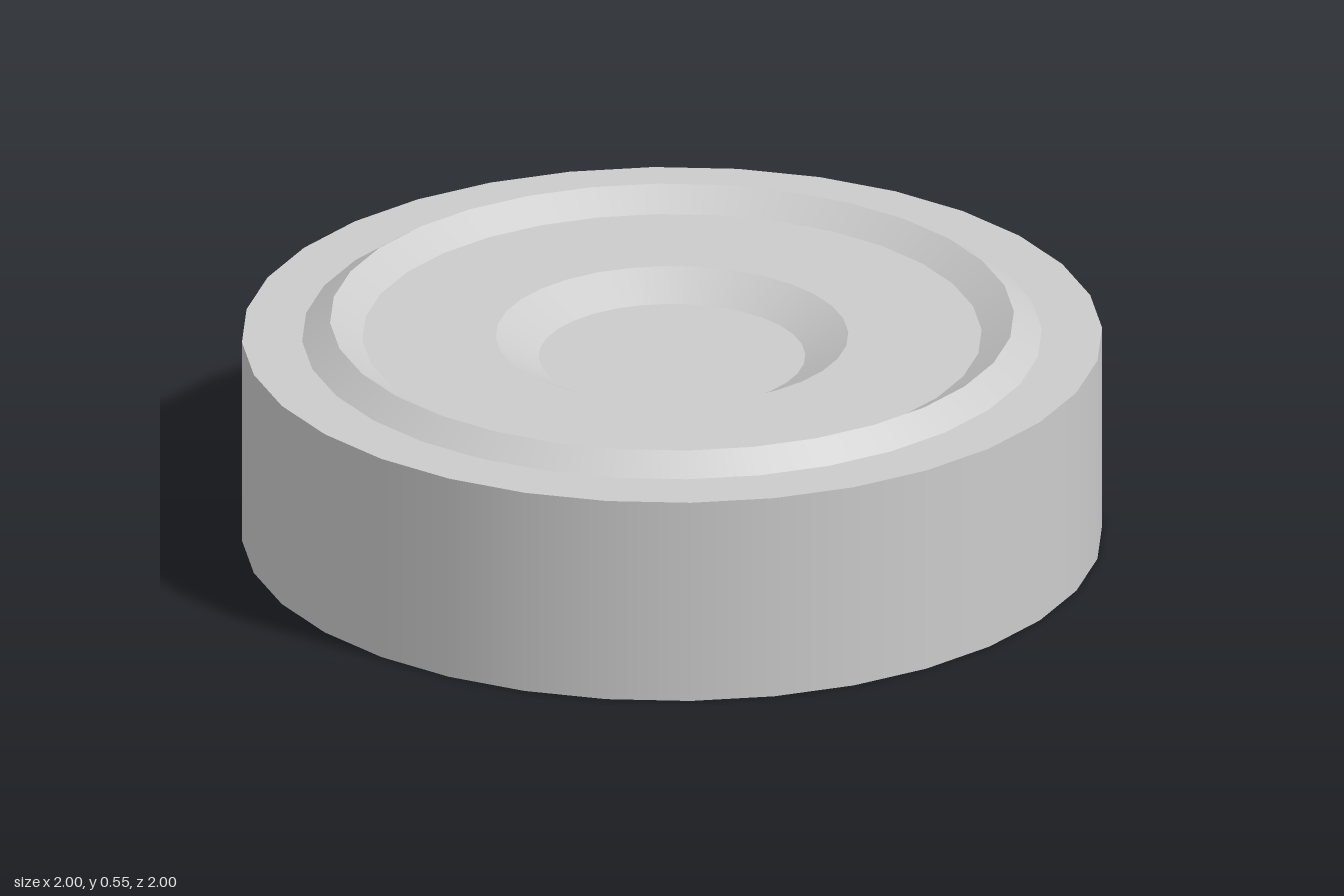
import * as THREE from 'three';

const SIDES = 32;
const material = new THREE.MeshStandardMaterial({ color: 0xcccccc });

// Conical or flat band between two [radius, y] points; smooth around, sharp at its edges.
// Its front is on the outside when the points run bottom to top or outer to inner.
function band(name, from, to) {
  const points = [new THREE.Vector2(...from), new THREE.Vector2(...to)];
  const mesh = new THREE.Mesh(new THREE.LatheGeometry(points, SIDES), material);
  mesh.name = name;
  return mesh;
}

// Flat disc facing up (1) or down (-1).
function disc(name, radius, y, facing) {
  const mesh = new THREE.Mesh(new THREE.CircleGeometry(radius, SIDES), material);
  mesh.rotation.x = -facing * Math.PI / 2;
  mesh.position.y = y;
  mesh.name = name;
  return mesh;
}

export function createModel() {
  const group = new THREE.Group();
  group.name = 'roundPuck';

  // Profile corners, from the base edge inward to the recess floor
  const base = [1, 0], shoulder = [1, 0.5];
  const ringFoot = [0.86, 0.5], ringCrest = [0.795, 0.545];
  const plateEdge = [0.72, 0.5], recessEdge = [0.41, 0.5], recessFoot = [0.31, 0.447];

  group.add(
    disc('bottom', base[0], base[1], -1),
    band('outerWall', base, shoulder),
    band('rim', shoulder, ringFoot),
    // Raised ring with a sharp crest
    band('ringOuterSlope', ringFoot, ringCrest),
    band('ringInnerSlope', ringCrest, plateEdge),
    // Flat plate with a shallow dished centre
    band('plate', plateEdge, recessEdge),
    band('recessSlope', recessEdge, recessFoot),
    disc('recessFloor', recessFoot[0], recessFoot[1], 1),
  );
  return group;
}
